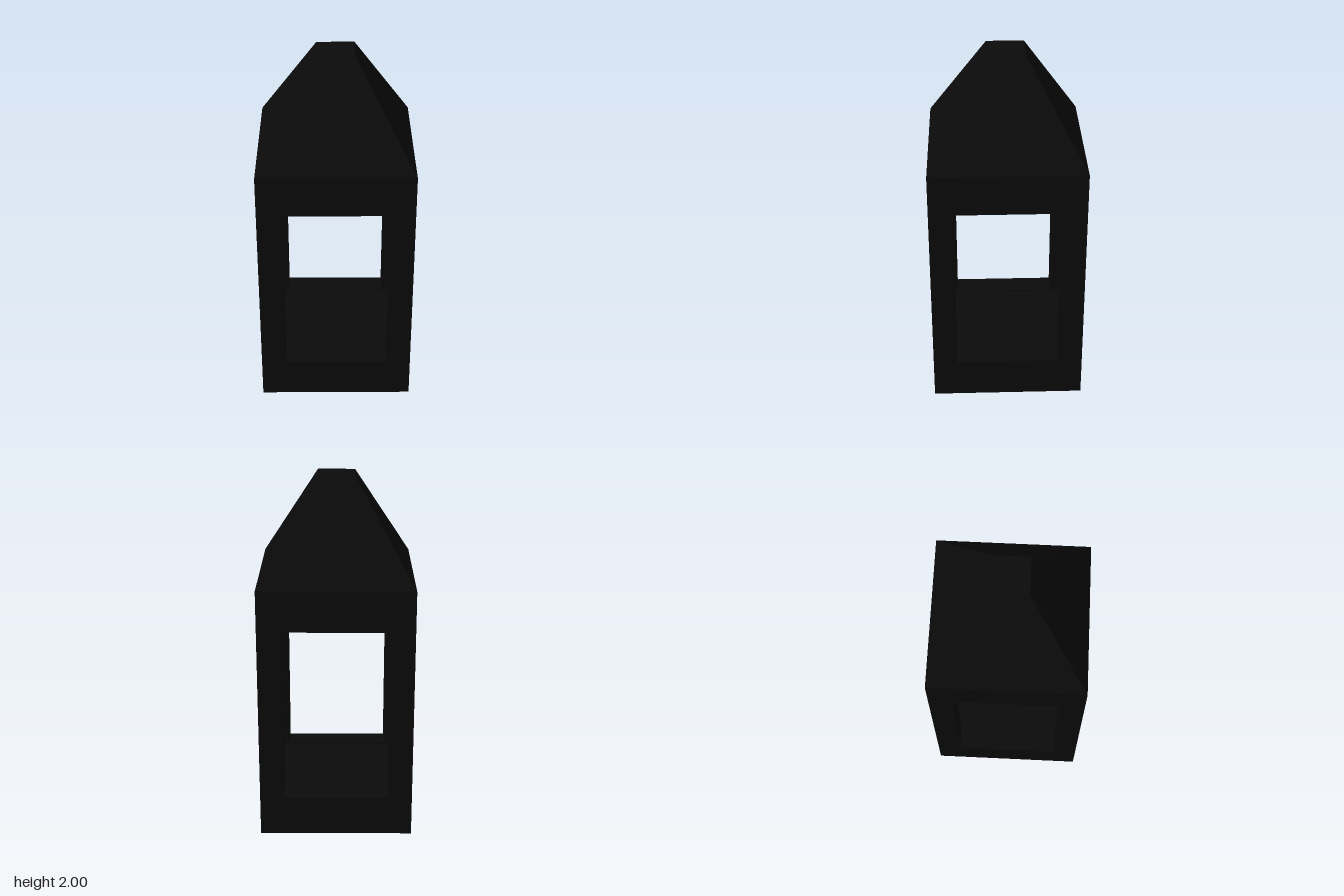
import * as THREE from 'three';

const HALF = 0.43;          // half width of the lantern
const POST = 0.135;         // square post section
const SILL = 0.23, LINTEL = 1.22, EAVES = 1.45, TOP = 2;
const RECESS = 0.008;       // shallow step of the inner floor

export function createModel() {
  const lantern = new THREE.Group();
  lantern.name = 'lantern';
  const black = new THREE.MeshStandardMaterial({ color: 0x0a0a0a, flatShading: true });

  function add(name, geometry, x, y, z, parent = lantern) {
    const mesh = new THREE.Mesh(geometry, black);
    mesh.name = name;
    mesh.position.set(x, y, z);
    parent.add(mesh);
    return mesh;
  }
  function block(name, w, d, y0, y1, x = 0, z = 0, parent = lantern) {
    return add(name, new THREE.BoxGeometry(w, y1 - y0, d), x, (y0 + y1) / 2, z, parent);
  }

  // Solid base and the band above the openings
  block('base', 2 * HALF, 2 * HALF, 0, SILL - RECESS);
  block('lintelBand', 2 * HALF, 2 * HALF, LINTEL, EAVES);

  // Corner posts, with a thin raised sill between each pair
  const c = HALF - POST / 2;
  const gap = 2 * (HALF - POST);
  const posts = new THREE.Group();
  posts.name = 'cornerPosts';
  const sills = new THREE.Group();
  sills.name = 'windowSills';
  lantern.add(posts, sills);
  for (const s of [-1, 1]) {
    for (const t of [-1, 1]) block('cornerPost', POST, POST, SILL - RECESS, LINTEL, s * c, t * c, posts);
    block('sill', gap, POST, SILL - RECESS, SILL, 0, s * c, sills);
    block('sill', POST, gap, SILL - RECESS, SILL, s * c, 0, sills);
  }

  // Four-sided roof with a flat top
  const roof = new THREE.CylinderGeometry(0.103 * Math.SQRT2, HALF * Math.SQRT2, TOP - EAVES, 4);
  roof.rotateY(Math.PI / 4);
  add('roof', roof, 0, (EAVES + TOP) / 2, 0);

  return lantern;
}
